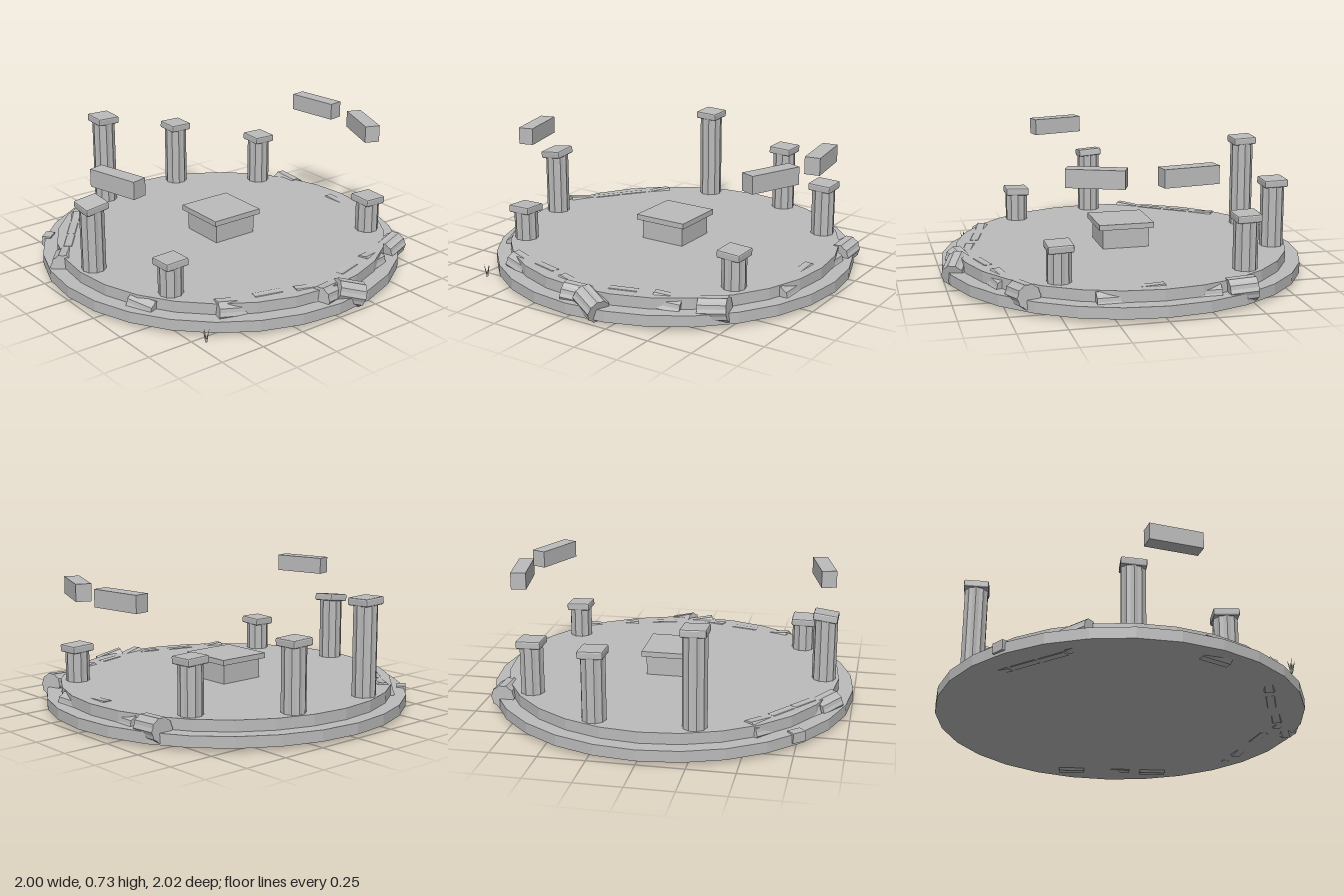
import * as THREE from 'three';
import { RoundedBoxGeometry } from 'three/addons/geometries/RoundedBoxGeometry.js';

export function createModel() {
  const root = new THREE.Group();
  root.name = 'ruinedTemple';
  const stone = new THREE.MeshStandardMaterial({ color: 0xbbbbbb, flatShading: true });
  stone.name = 'grey stone';

  const add = (name, geometry, x, y, z, parent = root) => {
    const mesh = new THREE.Mesh(geometry, stone);
    mesh.name = name;
    mesh.position.set(x, y, z);
    parent.add(mesh);
    return mesh;
  };

  // Fluted column shaft: every other vertex of the round is pulled inwards
  const fluted = (radius, height) => {
    const shape = new THREE.Shape();
    for (let i = 0; i < 20; i++) {
      const r = i % 2 ? radius * 0.91 : radius;
      const a = (i / 20) * Math.PI * 2;
      if (i) shape.lineTo(Math.cos(a) * r, Math.sin(a) * r);
      else shape.moveTo(r, 0);
    }
    shape.closePath();
    const g = new THREE.ExtrudeGeometry(shape, { depth: height, bevelEnabled: false });
    return g.translate(0, 0, -height / 2);
  };

  // Two-stepped round platform
  add('lowerStep', new THREE.CylinderGeometry(1, 1, 0.06, 28), 0, 0.06, 0);
  add('upperStep', new THREE.CylinderGeometry(0.92, 0.92, 0.06, 28), 0, 0.12, 0);

  // Central altar
  add('altarBase', new THREE.BoxGeometry(0.26, 0.12, 0.26), 0, 0.2, 0);
  add('altarSlab', new THREE.BoxGeometry(0.308, 0.03, 0.308), 0, 0.275, 0);

  // Standing columns: x, z, top height, cap tilt about x and z
  const columns = [
    [-0.26, -0.8, 0.675, 0.04, -0.03],
    [0.255, -0.8, 0.53, 0.02, -0.03],
    [0.67, -0.5, 0.45, 0.03, -0.03],
    [0.67, 0.48, 0.355, 0.03, -0.04],
    [-0.68, 0.48, 0.345, -0.04, 0.02],
    [-0.837, 0, 0.53, 0.08, 0.13],
  ];
  for (const [x, z, top, tiltX, tiltZ] of columns) {
    const column = new THREE.Group();
    column.name = 'column';
    column.position.set(x, 0, z);
    root.add(column);
    const h = top - 0.03 - 0.1;
    add('columnShaft', fluted(0.065, h), 0, 0.1 + h / 2, 0, column).rotation.x = -Math.PI / 2;
    const cap = add('columnCap', new RoundedBoxGeometry(0.134, 0.042, 0.134, 1, 0.008), 0, top - 0.021, 0, column);
    cap.rotation.set(tiltX, 0, tiltZ);
  }

  // Floating lintel blocks: x, z, turn
  for (const [x, z, turn] of [[0.822, -0.142, 0.15], [0.772, 0.31, -0.39], [-0.805, 0.212, 0.25]]) {
    add('lintel', new THREE.BoxGeometry(0.083, 0.093, 0.295), x, 0.693, z).rotation.y = turn;
  }

  // Fallen column drums half sunk in the platform: x, y, z, turn, tilt
  const drums = [
    [-0.56, 0.093, -0.65, -0.65, 0.08], [-0.66, 0.09, -0.52, -0.65, 0],
    [-0.76, 0.09, -0.385, -0.65, 0], [-0.865, 0.095, -0.265, -0.65, -0.1],
    [-0.5, 0.092, 0.725, 1.32, 0.12], [-0.295, 0.09, 0.777, 1.32, 0],
    [-0.085, 0.09, 0.845, 1.3, 0.05], [0.115, 0.093, 0.935, 1.2, 0.3],
    [0.0, 0.095, 0.895, 1.85, 0.12], [0.22, 0.09, 0.805, 1.85, 0],
    [0.445, 0.09, 0.74, 1.85, 0.1], [0.67, 0.097, 0.665, 1.85, -0.1],
    [0.845, 0.098, -0.42, 0, 0.05], [0.838, 0.08, -0.23, 0, 0],
    [0.832, 0.09, 0.05, 0, 0.05], [0.838, 0.08, 0.26, 0, 0],
    [-0.79, 0.08, 0.41, 0.35, 0.1],
  ];
  const drumGeometry = fluted(0.066, 0.15);
  for (const [x, y, z, turn, tilt] of drums) {
    add('fallenDrum', drumGeometry, x, y, z).rotation.set(tilt, turn, 0, 'YXZ');
  }

  // Loose block on the platform edge
  add('looseBlock', new THREE.BoxGeometry(0.05, 0.055, 0.075), -0.752, 0.072, -0.637).rotation.y = -0.85;

  // Small tuft of blades fanning out from one root
  const blade = new THREE.ConeGeometry(0.006, 0.075, 4).translate(0, 0.0375, 0);
  for (let i = 0; i < 4; i++) {
    const leaf = add('grassBlade', blade, -0.697, 0.015, 0.802);
    leaf.rotation.set(0.28, (i * Math.PI) / 2, 0, 'YXZ');
  }
  return root;
}
